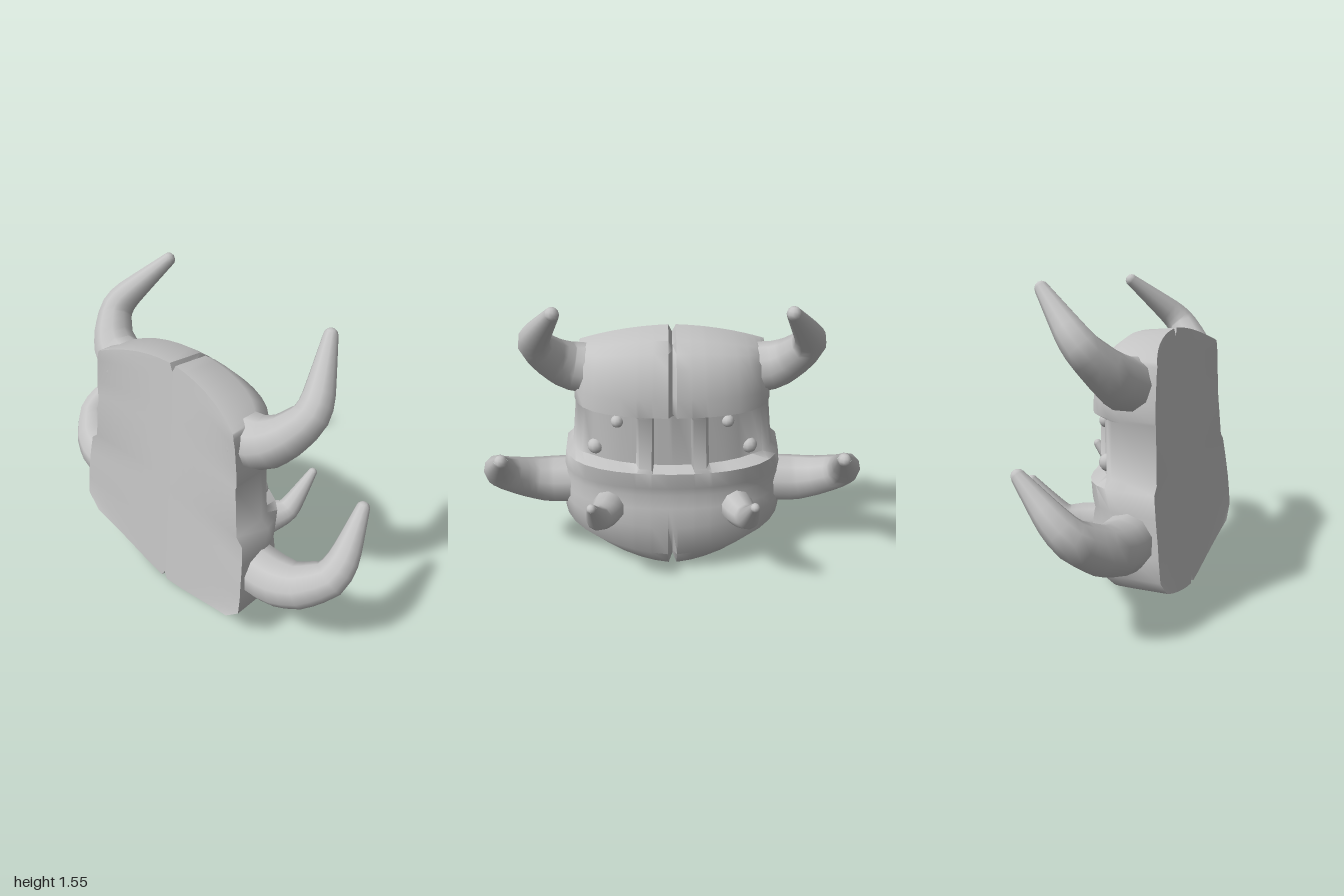
import * as THREE from 'three';
import { toCreasedNormals } from 'three/addons/utils/BufferGeometryUtils.js';

const grey = new THREE.MeshStandardMaterial({ color: 0xc4c4c4 });
grey.name = 'stone grey';

// Piecewise linear lookup in [key, value] pairs
function lookup(pairs, k) {
  if (k <= pairs[0][0]) return pairs[0][1];
  for (let i = 1; i < pairs.length; i++) {
    const [a, va] = pairs[i - 1], [b, vb] = pairs[i];
    if (k <= b) return va + (vb - va) * (k - a) / (b - a);
  }
  return pairs[pairs.length - 1][1];
}

// Slightly hollow mounting face: depth by height at its side edges and its middle
const FACE_EDGE = [[0, 0.39], [0.22, 0.385], [0.42, 0.367], [0.65, 0.338], [0.97, 0.318], [1.2, 0.315], [1.31, 0.29]];
const FACE_MIDDLE = [[0, 0.345], [1.32, 0.235]];

// Head rows: height at centre, height at side, half width, depth of carved side
const ROWS = [
  [0.00, 0.17, 0.53, -0.01],
  [0.12, 0.25, 0.61, -0.10],
  [0.30, 0.36, 0.61, -0.115],
  [0.42, 0.42, 0.605, -0.11],
  [0.49, 0.49, 0.6, -0.09],
  [0.54, 0.54, 0.595, -0.105],
  [0.63, 0.64, 0.58, -0.11],
  [0.65, 0.675, 0.54, -0.10, true],
  [0.935, 0.935, 0.51, -0.105, true],
  [0.95, 0.95, 0.515, -0.11],
  [1.05, 1.02, 0.51, -0.105],
  [1.19, 1.15, 0.495, -0.07],
  [1.25, 1.19, 0.485, -0.01],
  [1.295, 1.21, 0.48, 0.05],
];
const HALF = [0.04, 0.18, 0.2, 0.32, 0.35, 0.5, 0.65, 0.78, 0.88, 0.95, 0.985, 1];
const COLS = [...HALF.map(u => -u).reverse(), 0, ...HALF];

// A head vertex; front = on the flat face, otherwise on the carved side
function headPoint(j, i, front) {
  const [yc, ys, w, zb, visor] = ROWS[j];
  const u = COLS[i], a = Math.abs(u), last = ROWS.length - 1;
  const x = u * w;
  let y = yc + (ys - yc) * Math.pow(a, yc < 0.5 ? 1.5 : 2.2);
  if (u === 0 && j === 0) y += 0.04;
  if (u === 0 && j === last) y -= 0.04;
  if (j === last && front) y += 0.02 * (1 - a);
  const zf = THREE.MathUtils.lerp(lookup(FACE_MIDDLE, y), lookup(FACE_EDGE, y), u * u);
  if (front || a === 1) return new THREE.Vector3(x, y, zf);
  let z = zf - (zf - zb) * Math.pow(1 - u * u, yc < 0.6 ? 0.3 : 0.26);
  // recessed visor panels, leaving two upright posts
  if (visor && (a < 0.19 || a > 0.33)) z += 0.055 * Math.min(1, (1 - a) * 5);
  // centre groove in the cap and the beard
  if (u === 0 && yc > 0.94) z += 0.05;
  if (u === 0 && yc < 0.2) z += 0.04;
  return new THREE.Vector3(x, y, z);
}

function headGeometry() {
  const pos = [];
  const tri = (a, b, c) => {
    if (a.distanceTo(b) < 1e-5 || b.distanceTo(c) < 1e-5 || a.distanceTo(c) < 1e-5) return;
    for (const p of [a, b, c]) pos.push(p.x, p.y, p.z);
  };
  const quad = (a, b, c, d) => { tri(a, b, c); tri(a, c, d); };
  const last = ROWS.length - 1;
  for (let i = 0; i < COLS.length - 1; i++) {
    for (let j = 0; j < last; j++) {
      for (const front of [true, false]) {
        const a = headPoint(j, i, front), b = headPoint(j, i + 1, front);
        const c = headPoint(j + 1, i + 1, front), d = headPoint(j + 1, i, front);
        if (front) quad(a, b, c, d); else quad(a, d, c, b);
      }
    }
    // top and bottom caps
    quad(headPoint(last, i, false), headPoint(last, i, true), headPoint(last, i + 1, true), headPoint(last, i + 1, false));
    quad(headPoint(0, i, false), headPoint(0, i + 1, false), headPoint(0, i + 1, true), headPoint(0, i, true));
  }
  const g = new THREE.BufferGeometry();
  g.setAttribute('position', new THREE.Float32BufferAttribute(pos, 3));
  return toCreasedNormals(g, 1.05);
}

// Tapered horn with a marked elbow and a blunt tip; path points are x, y, z, radius
function horn(name, side, path) {
  const group = new THREE.Group();
  group.name = name;
  const points = path.map(([x, y, z]) => new THREE.Vector3(x * side, y, z));
  const curve = new THREE.CatmullRomCurve3(points, false, 'catmullrom', 0.3);
  // radius by distance along the horn
  let run = 0;
  const radii = path.map((q, i) => {
    if (i > 0) run += points[i].distanceTo(points[i - 1]);
    return [run, q[3]];
  });
  const segs = 16, sides = 10;
  const g = new THREE.TubeGeometry(curve, segs, 1, sides, false);
  const p = g.attributes.position, v = new THREE.Vector3();
  for (let i = 0; i <= segs; i++) {
    const c = curve.getPointAt(i / segs), r = lookup(radii, run * i / segs);
    for (let k = 0; k <= sides; k++) {
      const n = i * (sides + 1) + k;
      v.fromBufferAttribute(p, n).sub(c).multiplyScalar(r).add(c);
      p.setXYZ(n, v.x, v.y, v.z);
    }
  }
  const shaft = new THREE.Mesh(g, grey);
  shaft.name = 'hornShaft';
  const tip = new THREE.Mesh(new THREE.SphereGeometry(path[path.length - 1][3], 10, 6), grey);
  tip.name = 'hornTip';
  tip.position.copy(points[points.length - 1]);
  group.add(shaft, tip);
  return group;
}

export function createModel() {
  const model = new THREE.Group();
  model.name = 'hornedMask';
  const head = new THREE.Mesh(headGeometry(), grey);
  head.name = 'head';
  model.add(head);

  for (const [side, label] of [[1, 'left'], [-1, 'right']]) {
    model.add(horn(label + 'UpperHorn', side, [
      [0.42, 1.1, 0.175, 0.13], [0.52, 1.12, 0.165, 0.125], [0.6, 1.175, 0.13, 0.105],
      [0.667, 1.265, 0.06, 0.086], [0.66, 1.335, -0.005, 0.075], [0.54, 1.52, -0.205, 0.034]]));
    model.add(horn(label + 'LowerHorn', side, [
      [0.5, 0.42, 0.22, 0.13], [0.68, 0.42, 0.21, 0.128], [0.8, 0.45, 0.18, 0.11],
      [0.908, 0.525, 0.1, 0.09], [0.915, 0.6, 0.015, 0.075], [0.852, 0.75, -0.175, 0.034]]));
    model.add(horn(label + 'Tusk', side, [
      [0.32, 0.4, 0.02, 0.095], [0.35, 0.405, -0.1, 0.085],
      [0.385, 0.425, -0.2, 0.062], [0.397, 0.59, -0.36, 0.024]]));
    // small round eyes in the visor
    for (const [x, y, z, r] of [[0.28, 0.89, -0.015, 0.033], [0.4, 0.72, 0.045, 0.043]]) {
      const eye = new THREE.Mesh(new THREE.SphereGeometry(r, 10, 8), grey);
      eye.name = label + 'Eye';
      eye.position.set(x * side, y, z);
      model.add(eye);
    }
  }
  return model;
}
